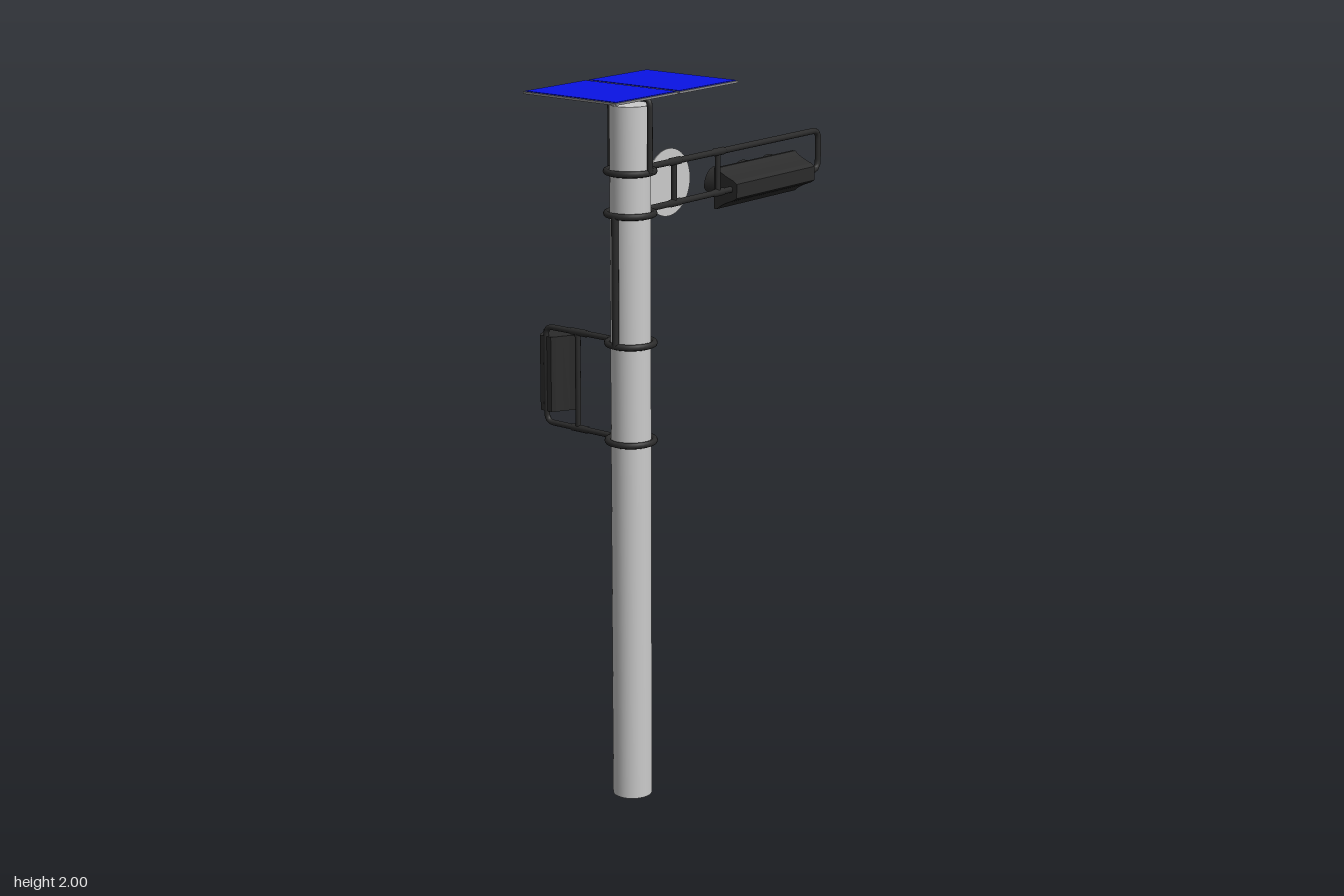
import * as THREE from 'three';
import { ParametricGeometry } from 'three/addons/geometries/ParametricGeometry.js';

const PX = 0.097, PZ = 0.305; // pole axis
const V = (x, y, z) => new THREE.Vector3(x, y, z);
const mat = (color, double) => new THREE.MeshStandardMaterial({
  color, side: double ? THREE.DoubleSide : THREE.FrontSide });
const grey = mat(0xcccccc), black = mat(0x2b2b2b), blackThin = mat(0x2b2b2b, true);
const frameGrey = mat(0x888888), blue = mat(0x0a14e6);
const red = mat(0xc81010), yellow = mat(0xe0b800), green = mat(0x0a4a22);

export function createModel() {
  const root = new THREE.Group();

  function add(name, geometry, material, x = 0, y = 0, z = 0) {
    const m = new THREE.Mesh(geometry, material);
    m.name = name;
    m.position.set(x, y, z);
    root.add(m);
    return m;
  }

  // Tube through corner points, with rounded bends
  function pipe(name, pts, r = 0.009, bend = 0.025) {
    const path = new THREE.CurvePath();
    let from = pts[0];
    for (let i = 1; i < pts.length - 1; i++) {
      const c = pts[i];
      const a = c.clone().add(pts[i - 1].clone().sub(c).setLength(bend));
      const b = c.clone().add(pts[i + 1].clone().sub(c).setLength(bend));
      path.add(new THREE.LineCurve3(from, a));
      path.add(new THREE.QuadraticBezierCurve3(a, c, b));
      from = b;
    }
    path.add(new THREE.LineCurve3(from, pts[pts.length - 1]));
    const segments = pts.length > 2 ? 120 : 1;
    return add(name, new THREE.TubeGeometry(path, segments, r, 10), black);
  }

  // Lamp housing: wide front at depth 0, flaring in to a narrow back, extruded along z
  function housing(length, depth) {
    const half = [[0.058, 0], [0.058, 0.12], [0.047, 0.3], [0.037, 0.55], [0.028, 0.85], [0.02, 1]];
    const s = new THREE.Shape([
      ...half.map(([w, d]) => new THREE.Vector2(w, d * depth)),
      ...half.slice().reverse().map(([w, d]) => new THREE.Vector2(-w, d * depth)),
    ]);
    return new THREE.ExtrudeGeometry(s, { depth: length, bevelEnabled: false })
      .translate(0, 0, -length / 2);
  }

  // Pole and its clamp rings
  add('pole', new THREE.CylinderGeometry(0.055, 0.055, 1.95, 32), grey, PX, 0.975, PZ);
  for (const y of [1.03, 1.303, 1.658, 1.772]) {
    add('clampRing', new THREE.TorusGeometry(0.064, 0.009, 8, 32).rotateX(Math.PI / 2),
      black, PX, y, PZ);
  }

  // Conduit down the front of the pole
  pipe('conduit', [V(PX, 1.303, PZ + 0.064), V(PX, 1.658, PZ + 0.064)], 0.01);

  // Hoop carrying the solar panel
  pipe('panelHoop', [V(PX - 0.068, 1.772, PZ), V(PX - 0.068, 1.972, PZ),
    V(PX + 0.068, 1.972, PZ), V(PX + 0.068, 1.772, PZ)], 0.008);

  // Tapered bracket under the panel
  const taper = new THREE.Shape([[-0.115, 0.028], [-0.045, 0.008], [-0.04, 0], [0.04, 0],
    [0.045, 0.008], [0.115, 0.028]].map(([a, b]) => new THREE.Vector2(a, b)));
  add('panelBracket', new THREE.ExtrudeGeometry(taper, { depth: 0.104, bevelEnabled: false })
    .translate(0, 0, -0.052).rotateY(Math.PI / 2), frameGrey, PX, 1.965, PZ);

  // Two solar panels with a narrow gap
  for (const side of [-1, 1]) {
    const z = 0.303 + side * 0.1275;
    add('panelFrame', new THREE.BoxGeometry(0.316, 0.006, 0.249), frameGrey, 0.1025, 1.995, z);
    add('solarCells', new THREE.BoxGeometry(0.308, 0.002, 0.241), blue, 0.1025, 1.999, z);
  }

  // Arm to the rear, with its struts and sleeves
  pipe('signalArm', [V(PX, 1.772, PZ - 0.06), V(PX, 1.772, -0.541),
    V(PX, 1.658, -0.541), V(PX, 1.658, PZ - 0.06)]);
  for (const z of [-0.072, 0.12]) {
    pipe('signalStrut', [V(PX, 1.658, z), V(PX, 1.772, z)], 0.008);
    for (const y of [1.658, 1.772]) {
      pipe('armSleeve', [V(PX, y, z - 0.025), V(PX, y, z + 0.025)], 0.011);
    }
  }

  // Round sign plate beside the arm
  add('roundSign', new THREE.CylinderGeometry(0.093, 0.093, 0.003, 40).rotateZ(Math.PI / 2),
    grey, 0.077, 1.712, 0.12);

  // Three-lamp signal facing -x
  const SY = 1.655;
  add('signalHousing', housing(0.366, 0.08).rotateX(Math.PI).rotateZ(Math.PI / 2),
    black, 0.04, SY, -0.312);
  // Visor: part cylinder, open below, cut back on a slant
  const visor = new ParametricGeometry((u, v, p) => {
    const a = (u * 2 - 1) * THREE.MathUtils.degToRad(150 - 50 * v);
    p.set(-0.045 * v, 0.05 * Math.cos(a), 0.05 * Math.sin(a));
  }, 28, 4);
  [[-0.435, red], [-0.314, yellow], [-0.191, green]].forEach(([z, colour]) => {
    add('signalVisor', visor, blackThin, 0.04, SY, z);
    add('signalLens', new THREE.SphereGeometry(0.043, 24, 6, 0, Math.PI * 2, 0, Math.PI / 2)
      .scale(1, 0.2, 1).rotateZ(Math.PI / 2), colour, 0.0395, SY, z);
  });

  // Side arm for the walk signal
  pipe('walkArm', [V(PX - 0.06, 1.303, PZ), V(-0.208, 1.303, PZ),
    V(-0.208, 1.03, PZ), V(PX - 0.06, 1.03, PZ)], 0.008);
  pipe('walkStrut', [V(-0.093, 1.03, PZ), V(-0.093, 1.303, PZ)], 0.008);
  for (const y of [1.03, 1.303]) {
    pipe('armSleeve', [V(-0.115, y, PZ), V(-0.055, y, PZ)], 0.01);
  }

  // Two-lamp walk signal facing -z
  add('walkHousing', housing(0.214, 0.067).rotateX(Math.PI / 2), black, -0.207, 1.168, 0.243);
  const hood = new THREE.Shape([[0, 0], [-0.018, -0.012], [-0.018, -0.03], [-0.012, -0.016], [0, -0.008]]
    .map(([a, b]) => new THREE.Vector2(-a, b)));
  const hoodGeometry = new THREE.ExtrudeGeometry(hood, { depth: 0.112, bevelEnabled: false })
    .translate(0, 0, -0.056).rotateY(Math.PI / 2);
  [[1.219, green], [1.114, red]].forEach(([y, colour]) => {
    add('walkLens', new THREE.BoxGeometry(0.1, 0.088, 0.004), colour, -0.207, y - 0.003, 0.242);
    add('walkHood', hoodGeometry, black, -0.207, y + 0.05, 0.243);
  });

  return root;
}
